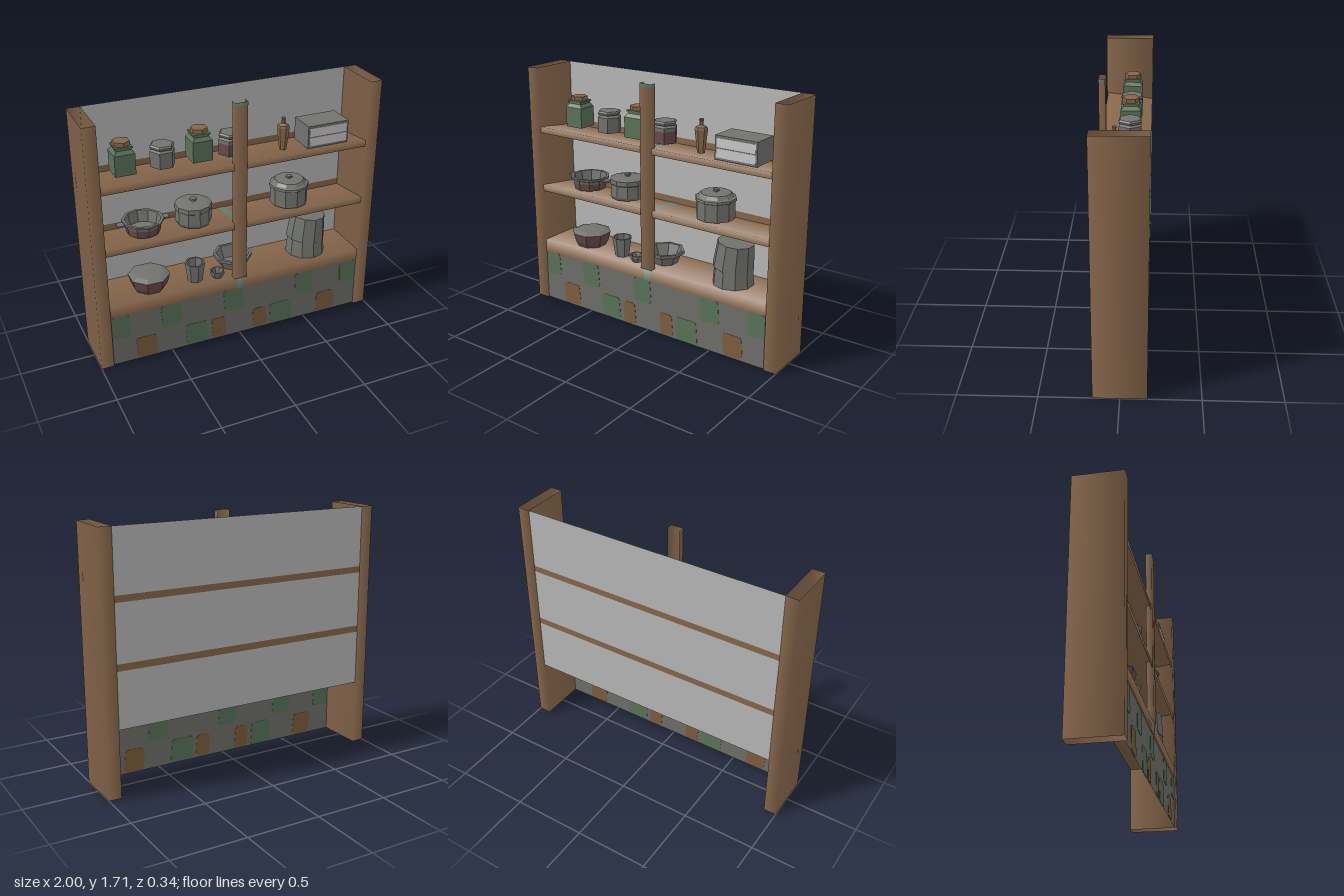
import * as THREE from 'three';

const mat = (name, color) => {
  const m = new THREE.MeshStandardMaterial({ color, side: THREE.DoubleSide });
  m.name = name;
  return m;
};

export function createModel() {
  const root = new THREE.Group();
  root.name = 'shelfUnit';
  const wood = mat('wood', 0x86664a), stone = mat('stone', 0x6e6f69), green = mat('mossGreen', 0x5a7359);
  const ochre = mat('ochre', 0x7d5d3e), panelGrey = mat('panelGrey', 0xb8b8b8), maroon = mat('maroon', 0x6a4a4c);
  const metal = mat('metal', 0x71736f), white = mat('paleGrey', 0xcac8ca), teal = mat('teal', 0x627f70);

  const add = (name, geo, material, x = 0, y = 0, z = 0, parent = root) => {
    const m = new THREE.Mesh(geo, material);
    m.name = name;
    m.position.set(x, y, z);
    parent.add(m);
    return m;
  };

  // Sweeps a [z, y] profile along x, with softened normals at the folds
  const ribbon = (pts, length, closed = false) => {
    const n = pts.length, segs = closed ? n : n - 1, h = length / 2;
    const segNormal = i => {
      const a = pts[i], b = pts[(i + 1) % n];
      return new THREE.Vector3(0, -(b[0] - a[0]), b[1] - a[1]).normalize();
    };
    const normals = pts.map((p, i) => {
      const v = new THREE.Vector3();
      if (closed || i > 0) v.add(segNormal((i + n - 1) % n));
      if (closed || i < n - 1) v.add(segNormal(i));
      return v.normalize();
    });
    const pos = [], nor = [], idx = [];
    pts.forEach((p, i) => {
      for (const x of [-h, h]) {
        pos.push(x, p[1], p[0]);
        nor.push(...normals[i].toArray());
      }
    });
    for (let i = 0; i < segs; i++) {
      const a = 2 * i, d = 2 * ((i + 1) % n);
      idx.push(a, a + 1, d + 1, a, d + 1, d);
    }
    const g = new THREE.BufferGeometry();
    g.setAttribute('position', new THREE.Float32BufferAttribute(pos, 3));
    g.setAttribute('normal', new THREE.Float32BufferAttribute(nor, 3));
    g.setIndex(idx);
    return g;
  };

  // Faceted turned shape from [radius, y] points, listed bottom to top
  const turned = (pts, sides, start = 0) => {
    const g = new THREE.LatheGeometry(pts.map(p => new THREE.Vector2(...p)), sides, start).toNonIndexed();
    g.computeVertexNormals();
    return g;
  };
  const group = (name, x, y, z) => {
    const g = new THREE.Group();
    g.name = name;
    g.position.set(x, y, z);
    root.add(g);
    return g;
  };

  // Hollow side posts and the front centre post
  for (const s of [-1, 1]) {
    const g = ribbon([[0.168, -0.043], [0.168, 0.043], [-0.168, 0.043], [-0.168, -0.043]], 1.71, true);
    add('sidePost', g.rotateZ(Math.PI / 2), wood, s * 0.957, 0.855, 0);
  }
  const channel = (len, o) => ribbon(
    [[0.125, -0.043 - o], [0.168 + o, -0.043 - o], [0.168 + o, 0.043 + o], [0.125, 0.043 + o]], len).rotateZ(Math.PI / 2);
  add('centrePost', channel(1.255, 0), wood, 0, 1.0825, 0);
  add('centrePostTip', channel(0.022, 0.001), teal, 0, 1.7, 0);

  // Shelves: front edge, top and rear edge, each with a narrow middle band
  const shelf = (name, bottom, top, back) => {
    const profile = o => [[0.16 + o, bottom], [0.16 + o, top + o], [-0.168, back + o]];
    add(name, ribbon(profile(0), 1.83), wood);
    add(name + 'Band', ribbon(profile(0.002), 0.045), teal);
  };
  shelf('lowerShelf', 0.37, 0.455, 0.455);
  for (const [name, b, t] of [['middleShelf', 0.83, 0.875], ['upperShelf', 1.255, 1.298]]) {
    shelf(name, b, t, b);
    add(name + 'RearEdge', ribbon([[-0.168, t], [-0.168, b]], 1.83), wood);
  }

  // Back panel in three fields
  for (const [a, b] of [[0.455, 0.83], [0.875, 1.255], [1.298, 1.71]])
    add('backPanel', new THREE.PlaneGeometry(1.83, b - a), panelGrey, 0, (a + b) / 2, -0.168);

  // Stone front with coloured blocks showing on both sides
  add('stoneWall', new THREE.PlaneGeometry(1.83, 0.37), stone, 0, 0.185, 0.155);
  const block = (x0, x1, y0, y1, material) => {
    const r = 0.03, s = new THREE.Shape();
    s.moveTo(x0 + r, y0);
    s.lineTo(x1 - r, y0);
    s.quadraticCurveTo(x1, y0, x1, y0 + r);
    s.lineTo(x1 - 0.008, y1 - r);
    s.quadraticCurveTo(x1 - 0.008, y1, x1 - r, y1);
    s.lineTo(x0 + r, y1);
    s.quadraticCurveTo(x0, y1, x0, y1 - r);
    s.lineTo(x0 + 0.008, y0 + r);
    s.quadraticCurveTo(x0 + 0.008, y0, x0 + r, y0);
    add('wallBlock', new THREE.ExtrudeGeometry(s, { depth: 0.004, bevelEnabled: false, curveSegments: 3 }), material, 0, 0, 0.153);
  };
  for (const [a, b] of [[-0.913, -0.78], [-0.57, -0.42], [-0.12, 0.03], [0.42, 0.57], [0.78, 0.913]])
    block(a, b, 0.2, 0.369, green);
  for (const [a, b] of [[-0.4, -0.235], [0.23, 0.405]]) block(a, b, 0.002, 0.17, green);
  for (const [a, b] of [[-0.75, -0.6], [-0.21, -0.1], [0.1, 0.21], [0.6, 0.75]]) block(a, b, 0.01, 0.165, ochre);

  // Upper shelf: square jars with wooden lids
  for (const x of [-0.715, -0.205]) {
    const g = group('squareJar', x, 1.298, -0.03);
    add('jarBody', turned([[0, 0], [0.095, 0], [0.095, 0.138], [0.07, 0.162], [0.07, 0.172], [0.08, 0.174], [0.08, 0.184], [0, 0.184]], 4, Math.PI / 4), green, 0, 0, 0, g);
    add('jarLid', turned([[0.056, 0.184], [0.056, 0.212], [0, 0.212]], 6), wood, 0, 0, 0, g);
  }
  // Hexagonal jars
  for (const [x, lower] of [[-0.453, metal], [0.013, maroon]]) {
    const g = group('hexJar', x, 1.298, -0.03);
    add('jarBase', turned([[0, 0], [0.083, 0], [0.083, 0.08]], 6, Math.PI / 2), lower, 0, 0, 0, g);
    add('jarTop', turned([[0.083, 0.08], [0.083, 0.105], [0.06, 0.118], [0.078, 0.12], [0.083, 0.135], [0.072, 0.145], [0, 0.145]], 6, Math.PI / 2), metal, 0, 0, 0, g);
  }
  add('bottle', turned([[0, 0], [0.024, 0], [0.042, 0.152], [0.036, 0.167], [0.013, 0.18], [0.011, 0.205], [0.014, 0.208], [0.014, 0.218], [0, 0.218]], 6), wood, 0.348, 1.298, 0.055);

  // Small chest with two pale fronts and sides framed in grey
  const chest = group('smallChest', 0.643, 1.298, 0.033);
  add('chestBody', new THREE.BoxGeometry(0.296, 0.154, 0.19), metal, 0, 0.077, 0, chest);
  for (const y of [0.044, 0.109]) add('drawerFront', new THREE.BoxGeometry(0.272, 0.058, 0.004), white, 0, y, 0.095, chest);

  // Middle shelf: open pan with side handles
  const pan = group('pan', -0.612, 0.875, 0);
  add('panBase', turned([[0, 0], [0.11, 0], [0.118, 0.05]], 10), maroon, 0, 0, 0, pan);
  add('panRim', turned([[0.118, 0.05], [0.122, 0.068], [0.137, 0.075], [0.137, 0.088], [0.118, 0.088], [0.1, 0.012], [0, 0.012]], 10), metal, 0, 0, 0, pan);
  for (const s of [-1, 1]) add('panHandle', new THREE.BoxGeometry(0.05, 0.012, 0.05), metal, s * 0.148, 0.07, 0, pan);

  // Lidded pots
  add('lowPot', turned([[0, 0], [0.112, 0], [0.122, 0.02], [0.118, 0.1], [0.124, 0.105], [0.122, 0.135], [0.09, 0.142], [0.016, 0.146], [0.012, 0.153], [0.025, 0.158], [0.022, 0.167], [0, 0.167]], 10), metal, -0.27, 0.875, 0.01);
  add('tallPot', turned([[0, 0], [0.128, 0], [0.128, 0.118], [0.137, 0.122], [0.134, 0.138], [0.118, 0.144], [0.1, 0.166], [0.012, 0.17], [0.012, 0.176], [0.023, 0.178], [0.02, 0.188], [0, 0.188]], 10), metal, 0.432, 0.875, 0);

  // Lower shelf: covered bowl, cup and open bowls
  const bowl = group('coveredBowl', -0.597, 0.455, 0.02);
  add('bowlBody', turned([[0, 0], [0.1, 0], [0.122, 0.035], [0.14, 0.1]], 8, Math.PI / 8), maroon, 0, 0, 0, bowl);
  add('bowlCover', turned([[0.14, 0.1], [0.1, 0.115], [0, 0.122]], 8, Math.PI / 8), metal, 0, 0, 0, bowl);
  add('cup', turned([[0, 0], [0.05, 0], [0.069, 0.136], [0.058, 0.136], [0.042, 0.01], [0, 0.01]], 7), metal, -0.286, 0.455, 0.06);
  add('smallBowl', turned([[0, 0], [0.03, 0], [0.05, 0.035], [0.05, 0.05], [0.041, 0.05], [0.026, 0.01], [0, 0.01]], 8), metal, -0.137, 0.455, 0.09);
  add('wideBowl', turned([[0, 0], [0.085, 0], [0.11, 0.06], [0.134, 0.068], [0.134, 0.09], [0.115, 0.09], [0.08, 0.012], [0, 0.012]], 8, Math.PI / 8), metal, 0.022, 0.455, -0.02);

  // Two stacked upturned buckets, the upper one leaning
  add('lowerBucket', turned([[0, 0], [0.137, 0], [0.124, 0.16], [0, 0.16]], 10), metal, 0.577, 0.455, 0);
  add('upperBucket', turned([[0, 0], [0.136, 0], [0.12, 0.172], [0, 0.172]], 10), metal, 0.574, 0.57, 0).rotation.z = -0.09;

  return root;
}
